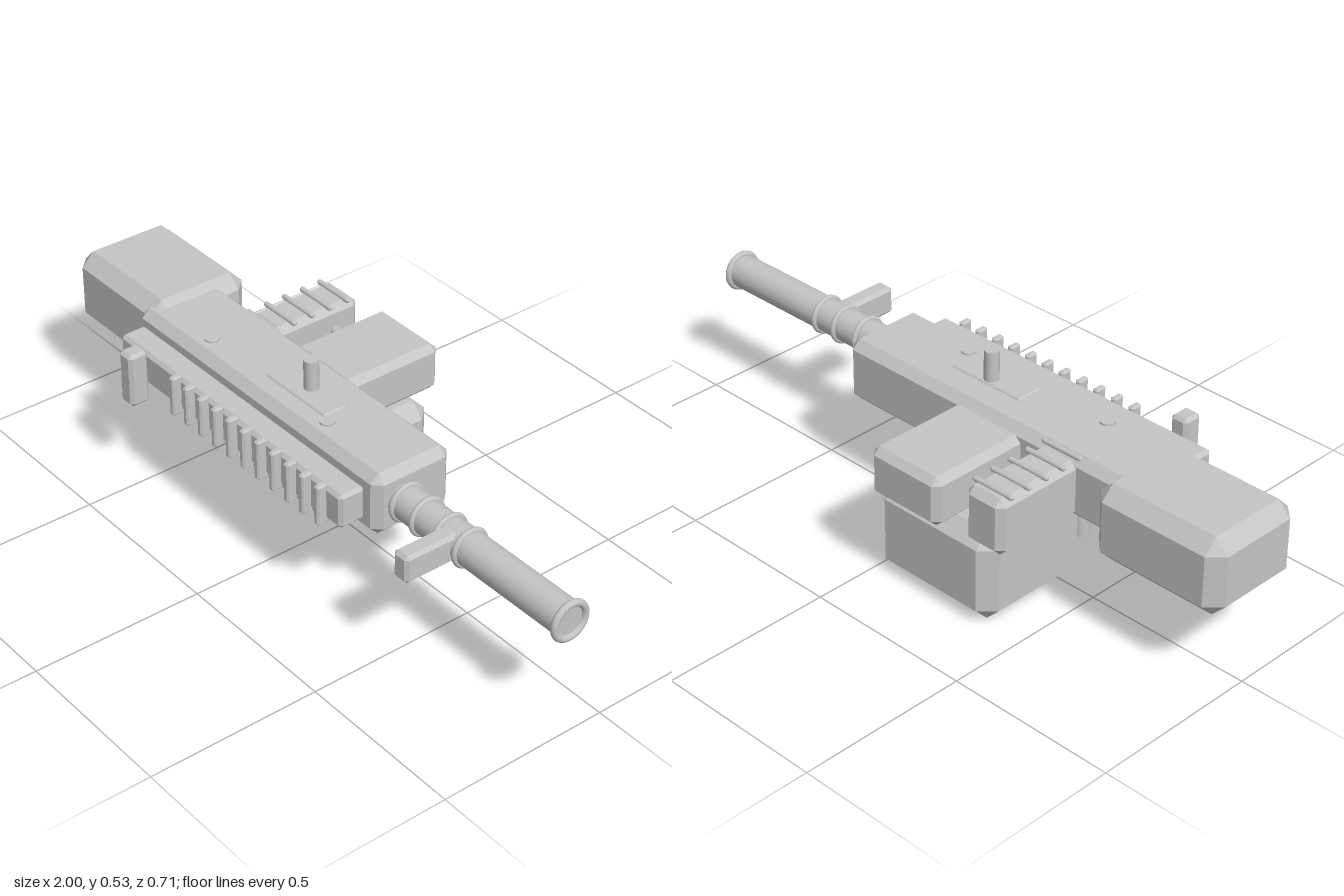
import * as THREE from 'three';
import { ConvexGeometry } from 'three/addons/geometries/ConvexGeometry.js';

const metal = new THREE.MeshStandardMaterial({ color: 0xc4c4c4 });
metal.name = 'plain grey metal';

// Box with flat chamfered edges, given by its min/max on each axis
function chamferBox([x0, x1], [y0, y1], [z0, z1], c) {
  const h = [(x1 - x0) / 2, (y1 - y0) / 2, (z1 - z0) / 2];
  const points = [];
  for (const sx of [-1, 1]) for (const sy of [-1, 1]) for (const sz of [-1, 1]) {
    for (let face = 0; face < 3; face++) {
      const p = [sx, sy, sz].map((s, i) => s * (h[i] - (i === face ? 0 : c)));
      points.push(new THREE.Vector3(...p));
    }
  }
  return new ConvexGeometry(points).translate((x0 + x1) / 2, (y0 + y1) / 2, (z0 + z1) / 2);
}

// Upright cylinder between two heights
function post(x, z, r, y0, y1) {
  return new THREE.CylinderGeometry(r, r, y1 - y0, 24).translate(x, (y0 + y1) / 2, z);
}

export function createModel() {
  const model = new THREE.Group();
  model.name = 'blaster';
  const add = (name, geometry) => {
    const mesh = new THREE.Mesh(geometry, metal);
    mesh.name = name;
    model.add(mesh);
  };

  // Receiver and stock
  add('receiver', chamferBox([-0.67, 0.37], [0.25, 0.437], [-0.05, 0.2], 0.025));
  add('stock', chamferBox([-1, -0.59], [0.23, 0.457], [-0.127, 0.185], 0.04));

  // Side rail with its row of ribs and the separate clip
  add('sideRail', chamferBox([-0.64, 0.323], [0.293, 0.395], [0.197, 0.278], 0.01));
  for (let i = 0; i < 11; i++) {
    const x = -0.368 + i * 0.0624;
    add('railRib', chamferBox([x - 0.01, x + 0.01], [0.283, 0.404], [0.27, 0.305], 0.005));
  }
  add('sideClip', chamferBox([-0.54, -0.485], [0.262, 0.426], [0.292, 0.353], 0.01));

  // Barrel, rings and side foregrip
  const by = 0.343, bz = 0.113;
  add('barrel', new THREE.CylinderGeometry(0.049, 0.049, 0.64, 32)
    .rotateZ(-Math.PI / 2).translate(0.67, by, bz));
  for (const x of [0.385, 0.463, 0.55, 0.627, 0.99]) {
    const r = x > 0.9 ? 0.01 : 0.008;
    add(x > 0.9 ? 'muzzleRing' : 'barrelRing',
      new THREE.TorusGeometry(0.05, r, 12, 40).rotateY(Math.PI / 2).translate(x, by, bz));
  }
  add('foregrip', chamferBox([0.555, 0.61], [0.303, 0.386], [0.11, 0.301], 0.01));

  // Top plate, sight post and through pins
  add('topPlate', chamferBox([-0.18, 0.067], [0.43, 0.442], [0.048, 0.128], 0.004));
  add('sightPost', post(-0.056, 0.073, 0.021, 0.42, 0.53));
  for (const x of [-0.41, 0.09]) add('throughPin', post(x, 0.135, 0.021, 0.243, 0.442));

  // Row of tubes hanging under the receiver
  for (let i = 0; i < 6; i++) add('lowerTube', post(-0.367 + i * 0.083, 0.094, 0.024, 0.095, 0.27));

  // Magazine and the two side blocks
  add('magazine', chamferBox([-0.41, 0.005], [0, 0.27], [-0.3, 0.073], 0.042));
  add('sideBlock', chamferBox([-0.28, -0.036], [0.27, 0.415], [-0.352, -0.03], 0.02));
  add('coolingBlock', chamferBox([-0.473, -0.343], [0.26, 0.426], [-0.32, -0.03], 0.02));
  for (let i = 0; i < 5; i++) {
    add('coolingRod', new THREE.CapsuleGeometry(0.008, 0.122, 3, 10)
      .rotateZ(Math.PI / 2).translate(-0.408, 0.428, -0.032 - i * 0.062));
  }

  // Short hose between the side blocks
  const hose = new THREE.CatmullRomCurve3([
    new THREE.Vector3(-0.36, 0.35, -0.235), new THREE.Vector3(-0.315, 0.35, -0.225),
    new THREE.Vector3(-0.3, 0.35, -0.16), new THREE.Vector3(-0.32, 0.35, -0.09),
    new THREE.Vector3(-0.36, 0.35, -0.06),
  ]);
  add('hose', new THREE.TubeGeometry(hose, 24, 0.015, 10));

  return model;
}
